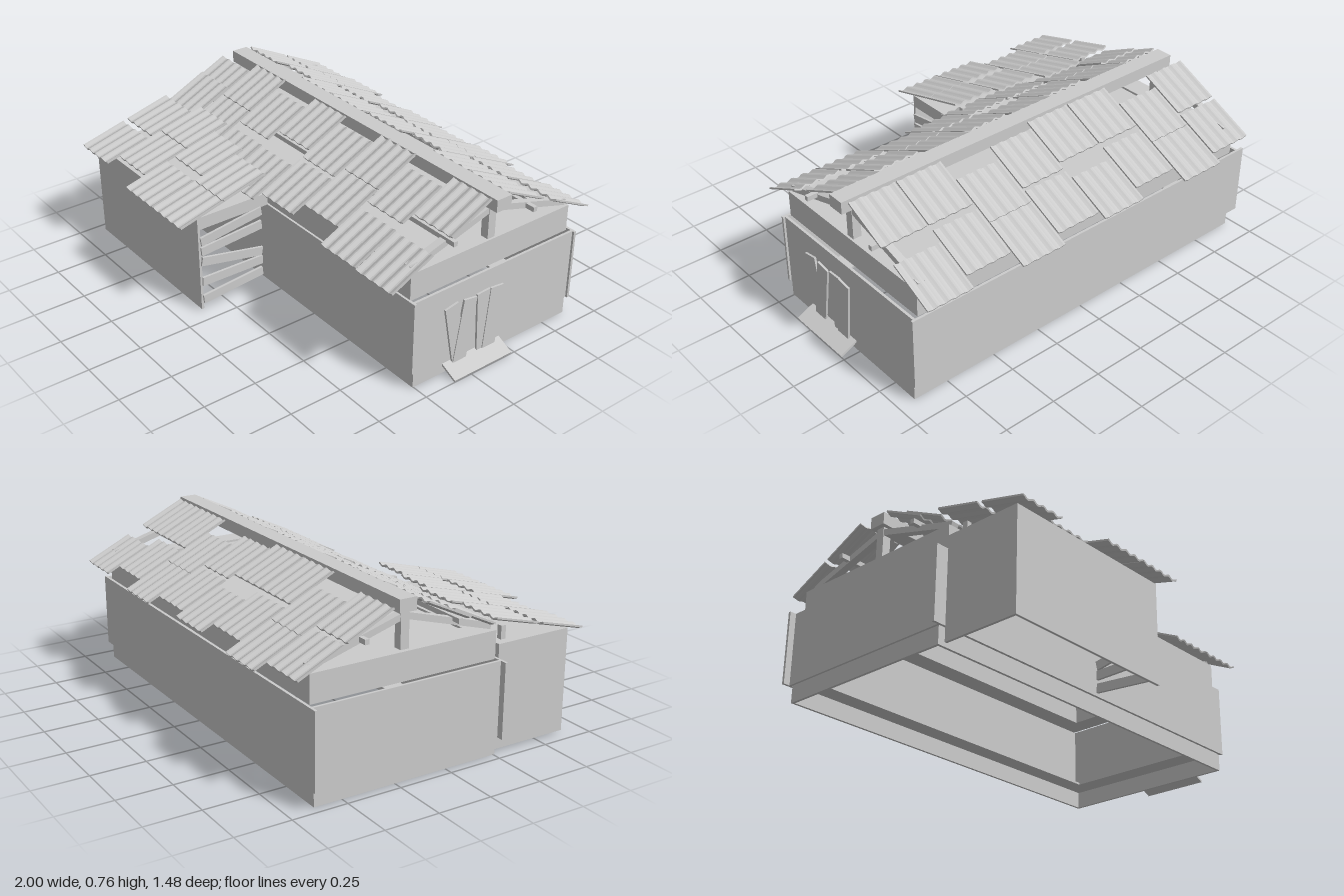
import * as THREE from 'three';

const grey = new THREE.MeshStandardMaterial({ color: 0xcccccc, flatShading: true, side: THREE.DoubleSide });

export function createModel() {
  const root = new THREE.Group();

  const add = (name, geometry, parent = root) => {
    const mesh = new THREE.Mesh(geometry, grey);
    mesh.name = name;
    parent.add(mesh);
    return mesh;
  };

  // Box given by its limits on each axis
  const box = (name, x0, x1, y0, y1, z0, z1, parent) => {
    const m = add(name, new THREE.BoxGeometry(x1 - x0, y1 - y0, z1 - z0), parent);
    m.position.set((x0 + x1) / 2, (y0 + y1) / 2, (z0 + z1) / 2);
    return m;
  };

  // Rectangular frame of four boxes, open in the middle
  const ring = (name, x0, x1, y0, y1, z0, z1, w) => {
    const g = new THREE.Group();
    g.name = name;
    root.add(g);
    box(name + 'Back', x0, x1, y0, y1, z0, z0 + w, g);
    box(name + 'Front', x0, x1, y0, y1, z1 - w, z1, g);
    box(name + 'Right', x0, x0 + w, y0, y1, z0 + w, z1 - w, g);
    box(name + 'Left', x1 - w, x1, y0, y1, z0 + w, z1 - w, g);
  };

  // Bar in a plane of constant x, running between two (z, y) points
  const bar = (name, x, wide, [z0, y0], [z1, y1], thick) => {
    const m = add(name, new THREE.BoxGeometry(wide, thick, Math.hypot(z1 - z0, y1 - y0)));
    m.position.set(x, (y0 + y1) / 2, (z0 + z1) / 2);
    m.rotation.x = -Math.atan2(y1 - y0, z1 - z0);
    return m;
  };

  // Main hall: skirt, floor ledge, wall panels, upper beams, ceiling
  ring('skirt', -0.96, 0.92, 0, 0.085, -0.63, 0.255, 0.012);
  ring('floorLedge', -0.955, 0.91, 0.08, 0.09, -0.63, 0.25, 0.1);
  box('frontPanel', -1, 0.93, 0.08, 0.42, 0.258, 0.27);
  box('backPanel', -1, 0.93, 0.08, 0.42, -0.65, -0.638);
  box('rightPanel', -0.97, -0.958, 0.08, 0.42, -0.638, 0.258);
  box('leftPanel', 0.908, 0.92, 0.08, 0.42, -0.638, 0.258);
  ring('upperBeam', -0.93, 0.89, 0.415, 0.54, -0.63, 0.26, 0.1);
  box('ceiling', -0.83, 0.79, 0.52, 0.53, -0.53, 0.16);

  // Boarded door and its ramp
  [[0.066, 0.01], [-0.035, 0.012], [-0.113, -0.127], [-0.185, -0.155]].forEach(([top, bottom], i) =>
    bar('doorPlank', 0.927 + 0.004 * (i % 2), 0.01, [bottom, 0.035], [top, 0.33], 0.073));
  const ramp = add('ramp', new THREE.BoxGeometry(0.095, 0.01, 0.325));
  ramp.position.set(0.957, 0.024, -0.068);
  ramp.rotation.z = -0.45;

  // Annex, open on its left side and boarded up
  box('annexFront', -0.94, -0.07, 0.01, 0.48, 0.628, 0.64);
  box('annexRight', -0.94, -0.928, 0.01, 0.48, 0.27, 0.628);
  box('annexTop', -0.94, -0.07, 0.47, 0.48, 0.27, 0.63);
  box('annexLintel', -0.082, -0.07, 0.42, 0.47, 0.27, 0.628);
  [[0.36, 0.405], [0.31, 0.335], [0.26, 0.195], [0.155, 0.15], [0.062, 0.09]].forEach(([front, back]) =>
    bar('annexPlank', -0.067, 0.012, [0.63, front], [0.31, back], 0.042));

  // Roof frame: ridge beam, trusses, purlins, annex posts
  box('ridgeBeam', -0.93, 0.94, 0.7, 0.757, -0.223, -0.142);
  for (const x of [-0.89, 0.86]) {
    box('kingPost', x - 0.02, x + 0.02, 0.54, 0.7, -0.202, -0.162);
    bar('frontRafter', x, 0.035, [-0.165, 0.675], [0.25, 0.553], 0.028);
    bar('backRafter', x, 0.035, [-0.2, 0.675], [-0.62, 0.553], 0.028);
  }
  for (const z of [0.06, -0.385]) box('purlin', -0.95, 0.925, 0.612, 0.634, z - 0.01, z + 0.01);
  for (const x of [-0.89, -0.5, -0.12]) box('annexPost', x - 0.012, x + 0.012, 0.48, 0.54, 0.31, 0.334);

  // Corrugated sheet: wavy strip extruded along the slope
  const wave = [];
  const steps = 28, width = 0.226;
  for (let i = 0; i <= steps; i++)
    wave.push([(i / steps - 0.5) * width, 0.005 * Math.cos((i / steps) * Math.PI * 8)]);
  const outline = [
    ...wave.map(([x, y]) => new THREE.Vector2(x, y - 0.004)),
    ...wave.slice().reverse().map(([x, y]) => new THREE.Vector2(x, y + 0.004)),
  ];
  const sheetGeo = new THREE.ExtrudeGeometry(new THREE.Shape(outline), { depth: 1, bevelEnabled: false });
  sheetGeo.translate(0, 0, -0.5);

  // roofY gives the height of the slope at z
  const sheet = (name, x, z0, z1, roofY) => {
    const y0 = roofY(z0), y1 = roofY(z1);
    const m = add(name, sheetGeo);
    m.position.set(x, (y0 + y1) / 2, (z0 + z1) / 2);
    m.rotation.x = -Math.atan2(y1 - y0, z1 - z0);
    m.scale.z = Math.hypot(z1 - z0, y1 - y0);
  };
  const frontY = z => 0.747 - (z + 0.14) * 0.48;
  const backY = z => 0.752 + (z + 0.22) * 0.48;
  const annexY = z => 0.467 + (0.735 - z) * 0.268;

  // Starting z of each sheet, column by column, repeating every four
  const frontUpper = [-0.1, -0.15, -0.085, -0.14];
  const frontLower = [0.125, 0.065, 0.16, 0.165];
  const backUpper = [-0.47, -0.533, -0.44, -0.44];
  const backLower = [-0.693, -0.743, -0.674, -0.727];
  const run = 0.208;
  for (let c = 0; c < 8; c++) {
    const x = -0.84 + c * 0.2345, k = c % 4;
    const low = c === 0 ? 0.025 : frontLower[k];
    sheet('frontUpperSheet', x, frontUpper[k], frontUpper[k] + run, frontY);
    sheet('frontLowerSheet', x, low, low + run, z => frontY(z) + (c === 0 ? 0.008 : 0));
    sheet('backUpperSheet', x, backUpper[k], backUpper[k] + run, backY);
    sheet('backLowerSheet', x, backLower[k], backLower[k] + run, backY);
  }
  const annexRows = [[0.23, 0.475], [0.18, 0.41], [0.25, 0.513], [0.29, 0.513]];
  annexRows.forEach((starts, c) => starts.forEach(z =>
    sheet('annexSheet', -0.855 + c * 0.231, z, z + 0.22, annexY)));

  return root;
}
